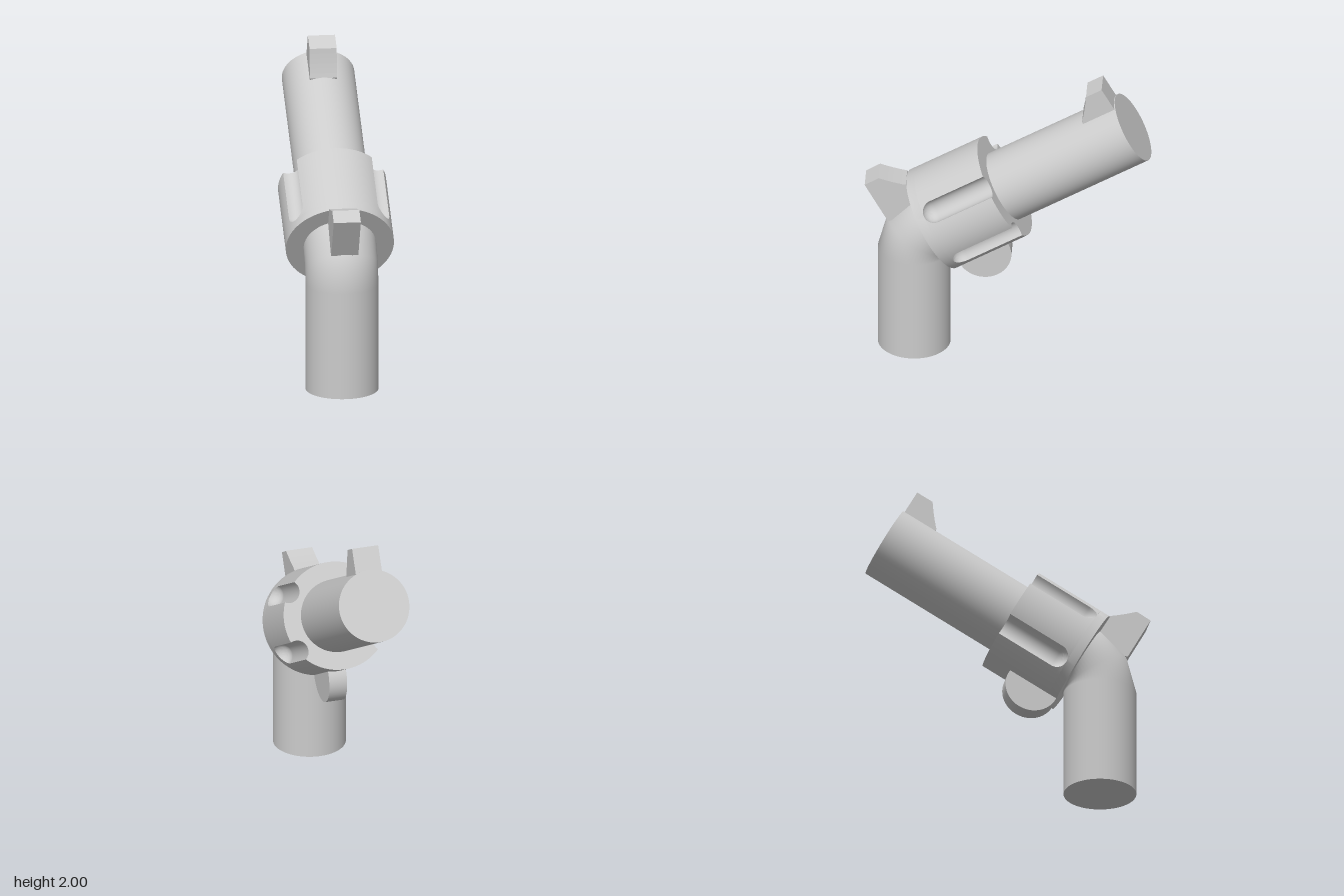
import * as THREE from 'three';
import { toCreasedNormals } from 'three/addons/utils/BufferGeometryUtils.js';

const material = new THREE.MeshStandardMaterial({ color: 0xcccccc, side: THREE.DoubleSide });
const TUBE_R = 0.235, DRUM_R = 0.35, DRUM_LENGTH = 0.53;
const TILT = Math.PI / 6;

function part(name, geometry, parent) {
  const mesh = new THREE.Mesh(geometry, material);
  mesh.name = name;
  parent.add(mesh);
  return mesh;
}

// Side profile of [z, y] points, extruded along x and centred
function sidePlate(draw, width) {
  const shape = new THREE.Shape();
  draw(shape);
  return new THREE.ExtrudeGeometry(shape, { depth: width, bevelEnabled: false, curveSegments: 6 })
    .rotateY(-Math.PI / 2).translate(width / 2, 0, 0);
}

// Upright grip whose top bends 60 degrees in two steps
function gripGeometry() {
  const geo = new THREE.CylinderGeometry(TUBE_R, TUBE_R, 1, 64, 3);
  const pos = geo.attributes.position, nor = geo.attributes.normal;
  const pivotY = 0.71, pivotZ = 0.357, bendR = 0.248;
  const xAxis = new THREE.Vector3(1, 0, 0), n = new THREE.Vector3();
  for (let i = 0; i < pos.count; i++) {
    const row = Math.round((pos.getY(i) + 0.5) * 3);
    const a = Math.max(0, row - 1) * Math.PI / 6;
    const d = bendR + pos.getZ(i);
    const y = row === 0 ? 0 : pivotY + d * Math.sin(a);
    pos.setXYZ(i, pos.getX(i), y, pivotZ + d * Math.cos(a));
    n.fromBufferAttribute(nor, i).applyAxisAngle(xAxis, -a);
    nor.setXYZ(i, n.x, n.y, n.z);
  }
  return geo;
}

// Drum with four round-ended flutes; columns follow the flute edges
function drumGeometry() {
  const fluteR = 0.073, fluteStart = 0.06, ballU = fluteStart + fluteR;
  const centres = [34, 146, 214, 326].map(THREE.MathUtils.degToRad);
  const fluteSteps = 16, wallSteps = 20, ballSteps = 12;

  const ring = (u, scale) => {
    const back = Math.max(0, ballU - u);
    const rho = Math.sqrt(Math.max(0, fluteR * fluteR - back * back));
    const half = Math.asin(rho / DRUM_R);
    const points = [];
    const add = (r, t) => points.push(r * scale * Math.cos(t), r * scale * Math.sin(t), -u);
    centres.forEach((c, k) => {
      for (let j = 0; j <= fluteSteps; j++) {
        const phi = -Math.cos(Math.PI * j / fluteSteps) * half;
        const s = DRUM_R * Math.sin(phi);
        const r = rho > 0 ? DRUM_R * Math.cos(phi) - Math.sqrt(Math.max(0, rho * rho - s * s)) : DRUM_R;
        add(r, c + phi);
      }
      const next = k < 3 ? centres[k + 1] : centres[0] + 2 * Math.PI;
      for (let j = 0; j <= wallSteps; j++) {
        add(DRUM_R, THREE.MathUtils.lerp(c + half, next - half, j / wallSteps));
      }
    });
    return points;
  };

  const rows = [ring(0, 0), ring(0, 1)];
  for (let i = 0; i <= ballSteps; i++) {
    rows.push(ring(ballU - fluteR * Math.cos(Math.PI / 2 * i / ballSteps), 1));
  }
  rows.push(ring(DRUM_LENGTH, 1), ring(DRUM_LENGTH, 0));

  const cols = rows[0].length / 3, index = [];
  for (let i = 0; i < rows.length - 1; i++) {
    for (let j = 0; j < cols; j++) {
      const a = i * cols + j, b = i * cols + (j + 1) % cols;
      index.push(a, a + cols, b, b, a + cols, b + cols);
    }
  }
  const geo = new THREE.BufferGeometry();
  geo.setAttribute('position', new THREE.Float32BufferAttribute(rows.flat(), 3));
  geo.setIndex(index);
  return toCreasedNormals(geo, 0.6);
}

export function createModel() {
  const model = new THREE.Group();
  model.name = 'model';

  part('grip', gripGeometry(), model);

  // Tilted upper assembly, pointing along its own -z
  const upper = new THREE.Group();
  upper.name = 'upperAssembly';
  upper.position.set(0, 0.925, 0.481);
  upper.rotation.x = TILT;
  model.add(upper);
  part('drum', drumGeometry(), upper);

  const barrelStart = 0.4, barrelEnd = 1.487;
  part('barrel', new THREE.CylinderGeometry(TUBE_R, TUBE_R, barrelEnd - barrelStart, 64)
    .rotateX(-Math.PI / 2).translate(0, 0, -(barrelStart + barrelEnd) / 2), upper);

  // Hammer above the bend, with a hollowed top
  part('hammer', sidePlate((s) => {
    s.moveTo(0.77, 0.95);
    s.lineTo(0.92, 1.22);
    s.lineTo(0.83, 1.275);
    s.quadraticCurveTo(0.74, 1.245, 0.655, 1.23);
    s.lineTo(0.52, 1.0);
  }, 0.176), model);

  // Front sight flush with the muzzle
  part('frontSight', sidePlate((s) => {
    s.moveTo(-0.79, 1.68);
    s.lineTo(-0.609, 2.0);
    s.lineTo(-0.508, 1.942);
    s.quadraticCurveTo(-0.502, 1.84, -0.483, 1.75);
    s.lineTo(-0.53, 1.66);
  }, 0.176), model);

  // Round trigger disc under the drum
  part('trigger', new THREE.CylinderGeometry(0.175, 0.175, 0.12, 48)
    .rotateZ(Math.PI / 2).translate(0, 0.704, 0.15), model);

  return model;
}
